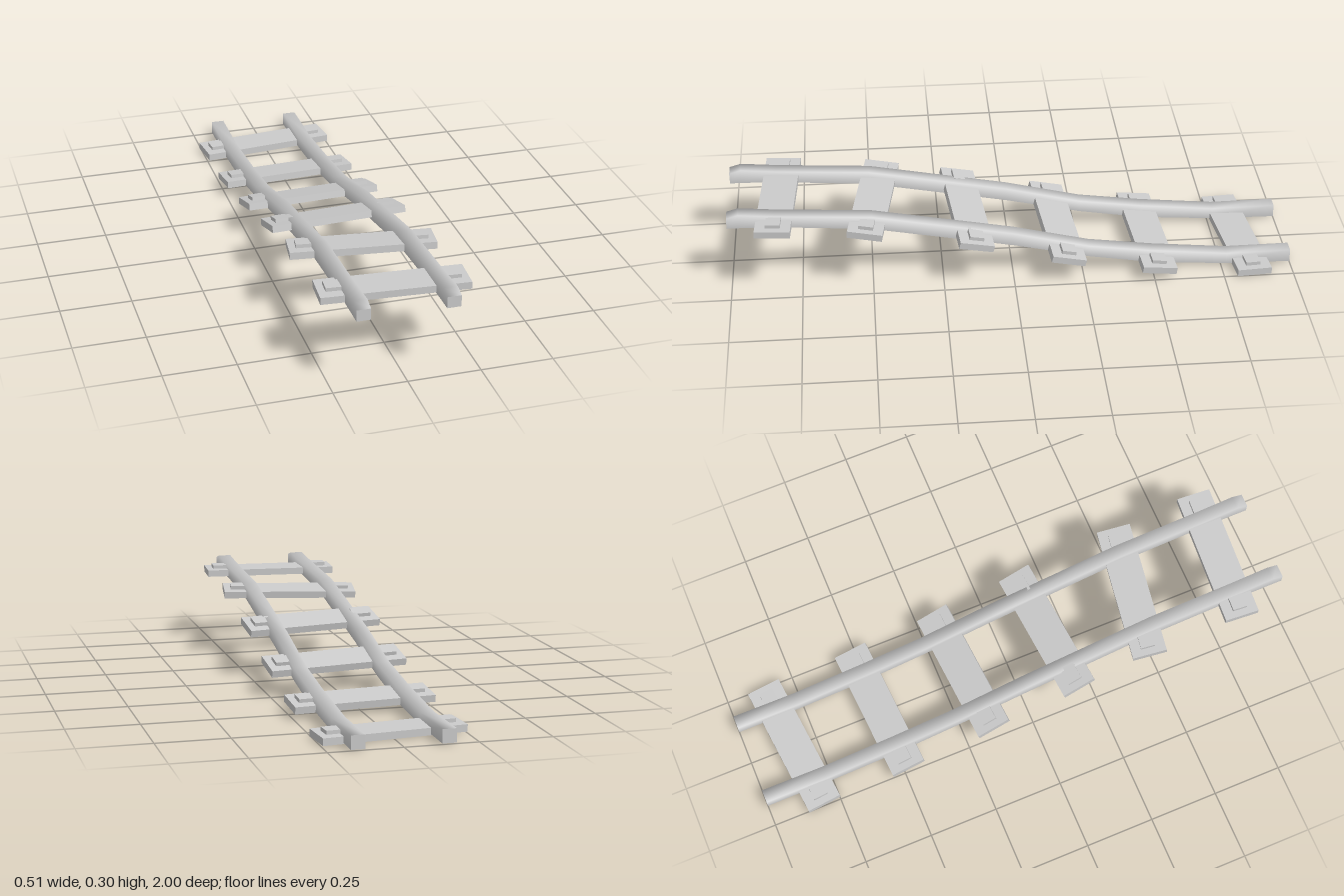
import * as THREE from 'three';

const material = new THREE.MeshStandardMaterial({ color: 0xcccccc });

// Rail side profile from front to back: z, underside height, top height
const PROFILE = [
  [1, 0.25, 0.29], [0.96, 0.25, 0.302], [0.83, 0.247, 0.29], [0.5, 0.222, 0.27],
  [0, 0.126, 0.174], [-0.27, 0.064, 0.107], [-0.5, 0.026, 0.075],
  [-0.77, 0.006, 0.048], [-1, 0.003, 0.05],
];

// Sleepers: z, centre height, yaw, pitch
const SLEEPERS = [
  [0.825, 0.262, -0.07, 0.01], [0.488, 0.235, -0.15, 0.1], [0.156, 0.178, 0.09, 0.23],
  [-0.172, 0.101, 0.08, 0.24], [-0.501, 0.041, 0.065, 0.13], [-0.835, 0.014, 0.1, 0.02],
];

// Bent bar: soft shading over sides and top, crisp underside and ends
function railGeometry(w) {
  const positions = [], index = [];
  const strip = (corners) => {
    const base = positions.length / 3, n = corners(PROFILE[0]).length;
    PROFILE.forEach((p, i) => {
      for (const [x, y] of corners(p)) positions.push(x, y, p[0]);
      if (i === 0) return;
      for (let j = 0; j < n - 1; j++) {
        const a = base + (i - 1) * n + j, b = a + n;
        index.push(a, a + 1, b, a + 1, b + 1, b);
      }
    });
  };
  strip(([, lo, hi]) => [[-w, lo], [-w, hi], [w, hi], [w, lo]]);
  strip(([, lo]) => [[w, lo], [-w, lo]]);
  // End caps
  for (const [p, s] of [[PROFILE[0], 1], [PROFILE[PROFILE.length - 1], -1]]) {
    const b = positions.length / 3, [z, lo, hi] = p;
    positions.push(-w * s, lo, z, w * s, lo, z, w * s, hi, z, -w * s, hi, z);
    index.push(b, b + 1, b + 2, b, b + 2, b + 3);
  }
  const g = new THREE.BufferGeometry();
  g.setAttribute('position', new THREE.Float32BufferAttribute(positions, 3));
  g.setIndex(index);
  g.computeVertexNormals();
  return g;
}

function box(name, w, h, d, x, y, z) {
  const mesh = new THREE.Mesh(new THREE.BoxGeometry(w, h, d), material);
  mesh.name = name;
  mesh.position.set(x, y, z);
  return mesh;
}

export function createModel() {
  const track = new THREE.Group();
  track.name = 'railTrack';

  // Two parallel rails
  const geometry = railGeometry(0.024);
  for (const side of [-1, 1]) {
    const rail = new THREE.Mesh(geometry, material);
    rail.name = side > 0 ? 'leftRail' : 'rightRail';
    rail.position.x = side * 0.15;
    track.add(rail);
  }

  // Crooked sleepers, each with a fixing pad outside either rail
  SLEEPERS.forEach(([z, y, yaw, pitch], i) => {
    const sleeper = new THREE.Group();
    sleeper.name = `sleeper${i + 1}`;
    sleeper.position.set(0, y, z);
    sleeper.rotation.set(-pitch, yaw, 0);
    sleeper.add(box('plank', 0.5, 0.025, 0.124, 0, 0, 0));
    for (const side of [-1, 1]) {
      sleeper.add(box('railPad', 0.065, 0.014, 0.052, side * 0.1925, 0.0185, 0));
    }
    track.add(sleeper);
  });
  return track;
}
